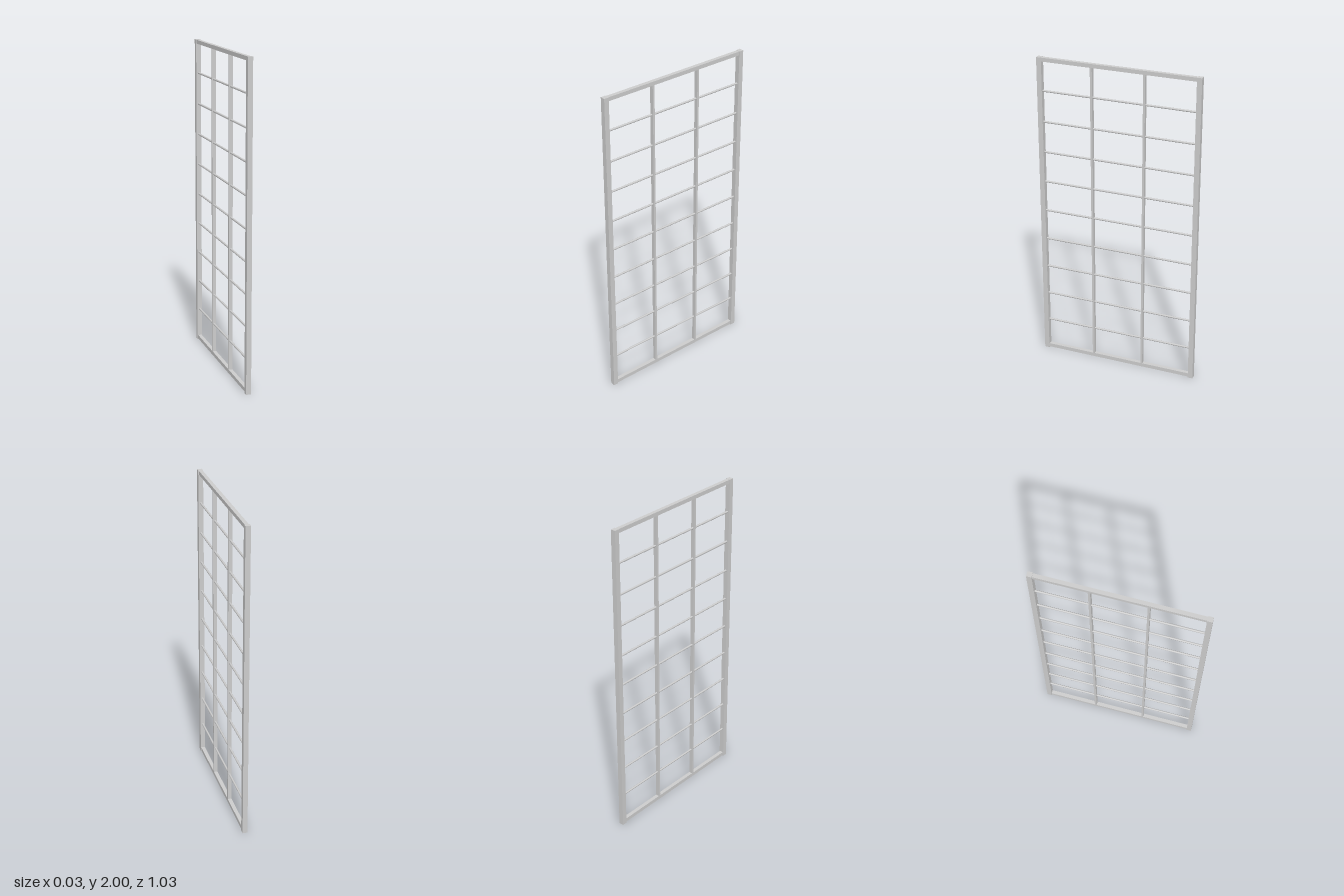
import * as THREE from 'three';

export function createModel() {
  const group = new THREE.Group();
  const material = new THREE.MeshStandardMaterial({ color: 0xcccccc });
  const add = (name, geometry, y, z) => {
    const mesh = new THREE.Mesh(geometry, material);
    mesh.name = name;
    mesh.position.set(0, y, z);
    group.add(mesh);
  };

  const post = 0.031, rail = 0.024, thin = 0.013;
  const postZ = 0.499, span = 2 * postZ - post;
  const bottomY = 0.017, topY = 1.987, rows = 10;

  // Square side posts and slim upright dividers
  const dividerHeight = topY - bottomY - rail;
  for (const s of [-1, 1]) {
    add('sidePost', new THREE.BoxGeometry(post, 2, post), 1, s * postZ);
    add('uprightDivider', new THREE.BoxGeometry(rail, dividerHeight, thin), (topY + bottomY) / 2, s * 0.166);
  }

  // Square top and bottom rails
  add('bottomRail', new THREE.BoxGeometry(rail, rail, span), bottomY, 0);
  add('topRail', new THREE.BoxGeometry(rail, rail, span), topY, 0);

  // Thin round crossbars, evenly spaced between the rails
  for (let i = 1; i < rows; i++) {
    const rod = new THREE.CylinderGeometry(thin / 2, thin / 2, span, 12).rotateX(Math.PI / 2);
    add('crossbar', rod, bottomY + ((topY - bottomY) * i) / rows, 0);
  }
  return group;
}
